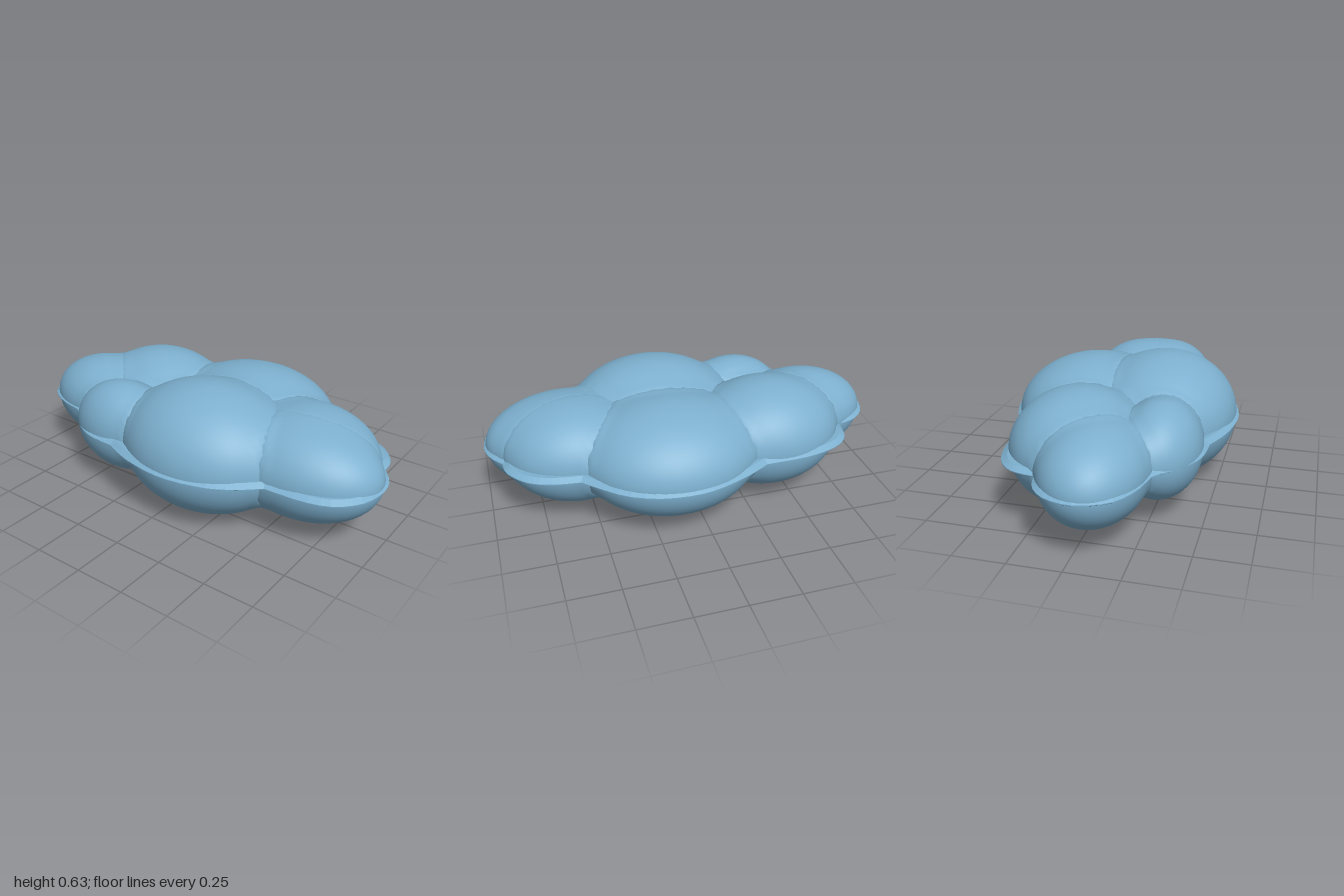
import * as THREE from 'three';
import { mergeVertices } from 'three/addons/utils/BufferGeometryUtils.js';

const SEAM_Y = 0.315;
const BLEND = 0.05; // width of the soft creases between lobes

// Puffy lobes: name, centre x, centre z, radius x, radius z, height above and depth below the seam
const LOBES = [
  ['frontLobe', 0.12, 0.19, 0.45, 0.375, 0.315, 0.315],
  ['backLobe', 0.125, -0.18, 0.45, 0.39, 0.272, 0.28],
  ['backRightLobe', -0.4, -0.11, 0.38, 0.32, 0.27, 0.272],
  ['farRightLobe', -0.645, 0.04, 0.345, 0.25, 0.215, 0.24],
  ['frontRightLobe', -0.35, 0.27, 0.28, 0.2, 0.23, 0.235],
  ['backLeftLobe', 0.55, -0.025, 0.36, 0.28, 0.24, 0.262],
  ['frontLeftLobe', 0.585, 0.1, 0.405, 0.265, 0.23, 0.25],
].map(([name, x, z, rx, rz, up, down]) => ({ name, x, z, rx, rz, up, down }));

// Piping outline seen from above, one run of x, z points per scallop;
// runs meet in soft notches
const SCALLOPS = [
  [[-0.79, -0.19], [-0.76, -0.31], [-0.67, -0.39], [-0.5, -0.435], [-0.29, -0.44]],
  [[-0.29, -0.44], [-0.16, -0.51], [0, -0.57], [0.13, -0.585], [0.28, -0.565], [0.42, -0.5], [0.53, -0.4], [0.59, -0.34]],
  [[0.59, -0.34], [0.72, -0.32], [0.83, -0.27], [0.91, -0.17], [0.925, -0.08]],
  [[0.925, -0.08], [0.98, 0], [1, 0.1], [0.97, 0.23], [0.88, 0.33], [0.75, 0.375], [0.56, 0.385]],
  [[0.56, 0.385], [0.46, 0.47], [0.33, 0.54], [0.12, 0.58], [-0.1, 0.55], [-0.26, 0.49]],
  [[-0.26, 0.49], [-0.42, 0.475], [-0.55, 0.41], [-0.63, 0.33], [-0.67, 0.3]],
  [[-0.67, 0.3], [-0.82, 0.265], [-0.94, 0.19], [-1, 0.05], [-0.97, -0.08], [-0.89, -0.16], [-0.79, -0.19]],
];

// Approximate distance from a point to a lobe's surface
function lobeDistance(lobe, p) {
  const ry = p.y > SEAM_Y ? lobe.up : lobe.down;
  const scaled = [(p.x - lobe.x) / lobe.rx, (p.y - SEAM_Y) / ry, (p.z - lobe.z) / lobe.rz];
  const size = Math.hypot(...scaled);
  const slope = Math.hypot(scaled[0] / lobe.rx, scaled[1] / ry, scaled[2] / lobe.rz);
  return (size * (size - 1)) / slope;
}

// A rounded lobe whose surface swells slightly where it meets a neighbour
function lobeGeometry(lobe) {
  const sphere = new THREE.SphereGeometry(1, 64, 40);
  sphere.deleteAttribute('uv');
  sphere.deleteAttribute('normal');
  const geometry = mergeVertices(sphere);
  const position = geometry.attributes.position;
  const p = new THREE.Vector3();
  for (let i = 0; i < position.count; i++) {
    p.fromBufferAttribute(position, i);
    const ry = p.y > 0 ? lobe.up : lobe.down;
    position.setXYZ(i, lobe.x + p.x * lobe.rx, SEAM_Y + p.y * ry, lobe.z + p.z * lobe.rz);
  }
  geometry.computeVertexNormals();
  const normal = new THREE.Vector3();
  for (let i = 0; i < position.count; i++) {
    p.fromBufferAttribute(position, i);
    normal.fromBufferAttribute(geometry.attributes.normal, i);
    let closeness = 0;
    for (const other of LOBES) {
      if (other !== lobe) closeness = Math.max(closeness, 1 - Math.abs(lobeDistance(other, p)) / BLEND);
    }
    p.addScaledVector(normal, (closeness ** 2 * BLEND) / 4);
    position.setXYZ(i, p.x, p.y, p.z);
  }
  geometry.computeVertexNormals();
  return geometry;
}

export function createModel() {
  const group = new THREE.Group();
  group.name = 'cloudCushion';
  const blue = new THREE.MeshStandardMaterial({ color: 0x7db0cf });
  blue.name = 'soft blue';

  // Overlapping lobes of the cushion
  for (const lobe of LOBES) {
    const mesh = new THREE.Mesh(lobeGeometry(lobe), blue);
    mesh.name = lobe.name;
    group.add(mesh);
  }

  // Thin wedge-edged piping around the whole outline
  const outline = [];
  for (const run of SCALLOPS) {
    const curve = new THREE.SplineCurve(run.map(([x, z]) => new THREE.Vector2(x, -z)));
    outline.push(...curve.getPoints(16).slice(0, -1));
  }
  const rim = new THREE.ExtrudeGeometry(new THREE.Shape(outline), {
    depth: 0.004,
    bevelEnabled: true,
    bevelThickness: 0.018,
    bevelSize: 0.028,
    bevelOffset: -0.028,
    bevelSegments: 1,
  });
  rim.rotateX(-Math.PI / 2);
  const piping = new THREE.Mesh(rim, blue);
  piping.name = 'piping';
  piping.position.y = SEAM_Y - 0.004;
  group.add(piping);

  return group;
}
